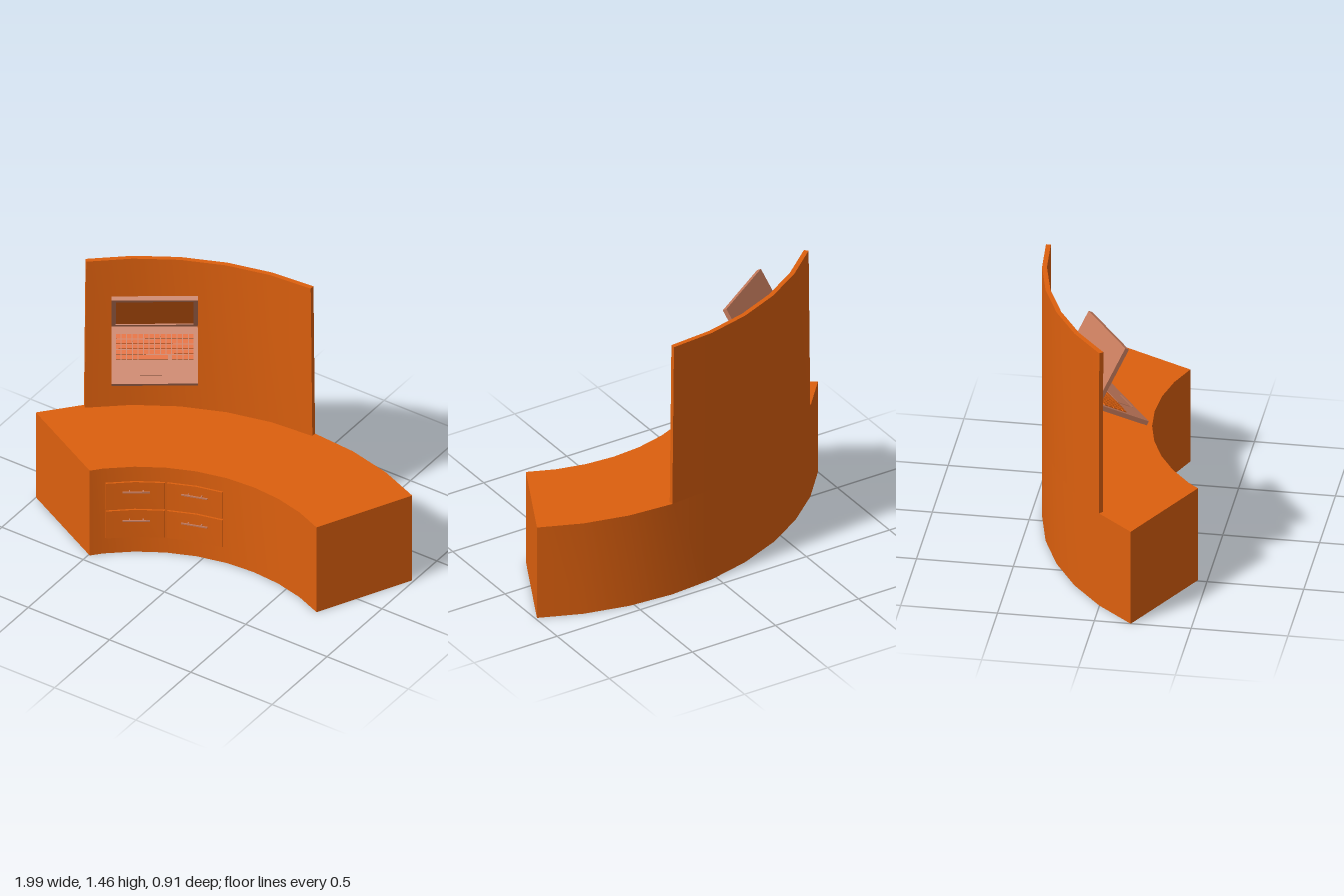
import * as THREE from 'three';
import { toCreasedNormals } from 'three/addons/utils/BufferGeometryUtils.js';

const orange = new THREE.MeshStandardMaterial({ color: 0xdd600e });
const pink = new THREE.MeshStandardMaterial({ color: 0xc47a5c });

// All curved parts share one centre and one facet step
const CX = 0.28, CZ = 1.14, RAD = Math.PI / 180, STEP = 8.87;
const OUTER = 1.597, INNER = 1.037;

// Points along a faceted arc; angles in degrees, 0 = straight back, + towards +x
function arc(radius, from, to) {
  const angles = [from];
  for (let k = Math.ceil(from / STEP); k * STEP < to; k++) {
    if (k * STEP - from > 0.3 && to - k * STEP > 0.3) angles.push(k * STEP);
  }
  angles.push(to);
  return angles.map((a) => {
    const mid = (Math.floor(a / STEP) + 0.5) * STEP;
    const r = radius * Math.cos(STEP / 2 * RAD) / Math.cos((a - mid) * RAD);
    return new THREE.Vector2(CX + r * Math.sin(a * RAD), r * Math.cos(a * RAD) - CZ);
  });
}

// Upright block between two arcs
function arcBlock(outerPts, innerPts, y, height) {
  const shape = new THREE.Shape([...outerPts, ...innerPts.slice().reverse()]);
  const geo = new THREE.ExtrudeGeometry(shape, { depth: height, bevelEnabled: false });
  geo.rotateX(-Math.PI / 2);
  geo.translate(0, y, 0);
  return geo;
}

function add(parent, name, geo, material) {
  const mesh = new THREE.Mesh(geo, material);
  mesh.name = name;
  parent.add(mesh);
  return mesh;
}

function box(parent, name, material, size, pos) {
  const mesh = add(parent, name, new THREE.BoxGeometry(...size), material);
  mesh.position.set(...pos);
  return mesh;
}

function handle(angle, y) {
  const g = new THREE.Group();
  g.name = 'drawerHandle';
  const a = angle * RAD, r = 1.006;
  g.position.set(CX + r * Math.sin(a), y, CZ - r * Math.cos(a));
  g.rotation.y = -a;
  box(g, 'handleBar', pink, [0.14, 0.007, 0.007], [0, 0, 0]);
  for (const s of [-1, 1]) box(g, 'handlePost', pink, [0.006, 0.006, 0.026], [s * 0.035, 0, -0.013]);
  return g;
}

function laptop() {
  const g = new THREE.Group();
  g.name = 'laptop';
  const W = 0.44, L = 0.343, H = 0.352, T = 0.024;
  // Base with palm rest
  box(g, 'laptopBase', pink, [W, T, L], [0, T / 2, L / 2]);
  // Keys, with a wide space bar in the last row
  const cols = 14, rows = 5, kw = 0.4 / cols, kd = 0.145 / rows;
  for (let r = 0; r < rows; r++) {
    for (let c = 0; c < cols; c++) {
      if (r === rows - 1 && c > 4 && c < 10) continue;
      box(g, 'key', orange, [kw * 0.82, 0.006, kd * 0.8],
        [-0.2 + (c + 0.5) * kw, T + 0.002, 0.065 + (r + 0.5) * kd]);
    }
  }
  box(g, 'spaceBar', orange, [kw * 4.8, 0.006, kd * 0.8], [0, T + 0.002, 0.065 + 4.5 * kd]);
  // Touchpad and front notch
  box(g, 'touchpad', pink, [0.15, 0.002, 0.075], [0, T + 0.001, 0.258]);
  box(g, 'frontNotch', pink, [0.14, 0.004, 0.004], [0, T, 0.318]);

  // Lid: a back plate, a raised bezel and the screen inside it
  box(g, 'lidBack', pink, [W, H - T, 0.015], [0, T + (H - T) / 2, 0.0075]);
  const w = W / 2, b = 0.022;
  const rect = (P, x, y0, y1) => new P([[-x, y0], [x, y0], [x, y1], [-x, y1]].map((p) => new THREE.Vector2(...p)));
  const frame = rect(THREE.Shape, w, T, H);
  frame.holes.push(rect(THREE.Path, w - b, T + b, H - b));
  const bezel = new THREE.ExtrudeGeometry(frame, { depth: 0.009, bevelEnabled: false });
  bezel.translate(0, 0, 0.015);
  add(g, 'screenBezel', bezel, pink);
  box(g, 'screen', orange, [W - 2 * b, H - T - 2 * b, 0.004], [0, (T + H) / 2, 0.016]);

  g.rotation.set(30 * RAD, 34.4 * RAD, 0, 'YXZ');
  g.position.set(-0.517, 1.07, -0.175);
  return g;
}

export function createModel() {
  const model = new THREE.Group();
  model.name = 'curvedCounter';

  // Counter body
  const body = arcBlock(arc(OUTER, -53.4, 26.4), arc(INNER, -48.3, 26.4), 0, 0.535);
  add(model, 'counter', toCreasedNormals(body, 0.5), orange);

  // Back wall, slightly narrower at the top
  const wall = arcBlock(arc(OUTER, -44.3, 0), arc(OUTER - 0.025, -44.3, 0), 0.535, 0.925);
  const p = wall.attributes.position;
  for (let i = 0; i < p.count; i++) {
    if (p.getY(i) > 1) p.setX(i, -0.28 + (p.getX(i) + 0.28) * 0.982);
  }
  add(model, 'backWall', toCreasedNormals(wall, 0.5), orange);

  // Two columns of two curved drawers
  for (const [from, to, grip] of [[-43.7, -26.9, -35], [-26.2, -9.8, -18]]) {
    for (const [y, height, gripY] of [[0.1, 0.17, 0.215], [0.28, 0.165, 0.395]]) {
      const front = arcBlock(arc(INNER + 0.008, from, to), arc(INNER - 0.01, from, to), y, height);
      add(model, 'drawerFront', toCreasedNormals(front, 0.5), orange);
      model.add(handle(grip, gripY));
    }
  }

  model.add(laptop());
  return model;
}
